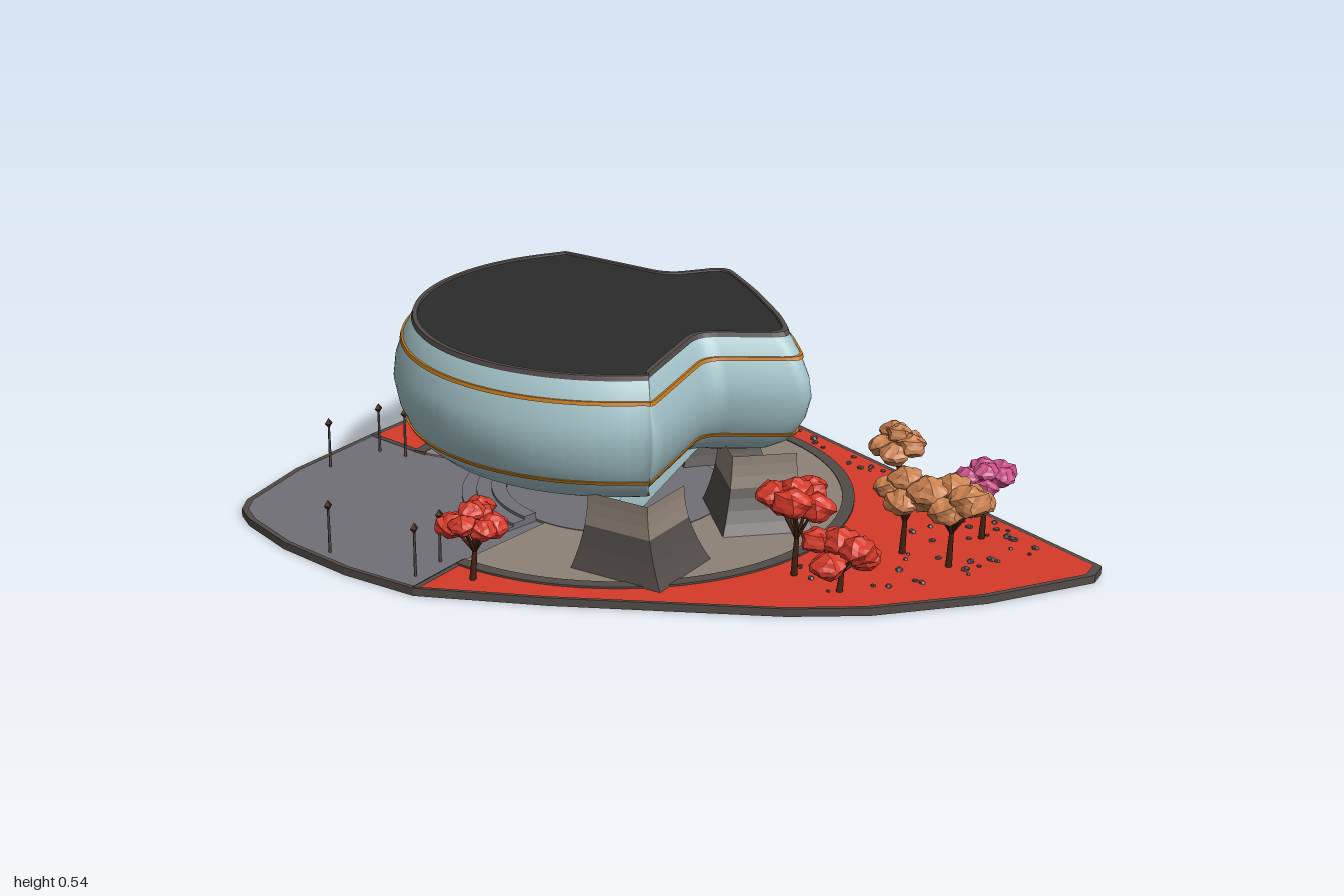
import * as THREE from 'three';

const mat = (name, color) => {
  const m = new THREE.MeshStandardMaterial({ color });
  m.name = name;
  return m;
};

export function createModel() {
  const model = new THREE.Group();
  model.name = 'pavilion';
  const glass = mat('pale blue glass', 0xa3c3c8), roofDark = mat('roof charcoal', 0x2b2b2b);
  const trim = mat('amber trim', 0xc47a1c), red = mat('red foliage', 0xd63a2a);
  const tan = mat('tan stone', 0x8e8276), gray = mat('gray paving', 0x716f76);
  const dark = mat('dark stone', 0x524c49), orange = mat('orange foliage', 0xc9804f);
  const pink = mat('pink foliage', 0xc84f86), bark = mat('bark', 0x42210f);
  const CX = 0.095, CZ = -0.145;
  let seed = 11;
  const rand = () => (seed = (seed * 16807) % 2147483647) / 2147483647;

  const add = (name, geo, material, parent = model) => {
    const m = new THREE.Mesh(geo, material);
    m.name = name;
    parent.add(m);
    return m;
  };
  // Points on an arc around the plaza centre, degrees from +x towards +z
  const arc = (r, a0, a1, n = 64) => Array.from({ length: n + 1 }, (_, i) => {
    const a = THREE.MathUtils.degToRad(a0 + (a1 - a0) * i / n);
    return [CX + r * Math.cos(a), CZ + r * Math.sin(a)];
  });
  const vecs = pts => pts.map(([x, z]) => new THREE.Vector2(x, -z));
  // Flat slab from a plan outline of [x, z] points
  const slab = (name, pts, y0, y1, material, hole) => {
    const s = new THREE.Shape(vecs(pts));
    if (hole) s.holes.push(new THREE.Path(vecs(hole)));
    const g = new THREE.ExtrudeGeometry(s, { depth: y1 - y0, bevelEnabled: false });
    g.rotateX(-Math.PI / 2).translate(0, y0, 0);
    return add(name, g, material);
  };
  // Skin through stacked closed rings: [{ y, pts }]
  const loft = (rings, smooth) => {
    const n = rings[0].pts.length, pos = [], idx = [];
    rings.forEach(({ y, pts }) => pts.forEach(([x, z]) => pos.push(x, y, z)));
    for (let i = 0; i < rings.length - 1; i++) for (let j = 0; j < n; j++) {
      const a = i * n + j, b = i * n + (j + 1) % n;
      idx.push(a, b, a + n, b, b + n, a + n);
    }
    let g = new THREE.BufferGeometry();
    g.setAttribute('position', new THREE.Float32BufferAttribute(pos, 3));
    g.setIndex(idx);
    if (!smooth) g = g.toNonIndexed();
    g.computeVertexNormals();
    return g;
  };
  const rod = (name, a, b, r0, r1, material, parent) => {
    const d = b.clone().sub(a);
    const m = add(name, new THREE.CylinderGeometry(r1, r0, d.length(), 6), material, parent);
    m.position.copy(a).addScaledVector(d, 0.5);
    m.quaternion.setFromUnitVectors(new THREE.Vector3(0, 1, 0), d.normalize());
  };

  // Site: red garden, gray forecourt, round plaza
  const gardenEdge = [[-0.25, -0.89], [-0.02, -0.965], [0.14, -0.965], [0.45, -0.89], [0.8, -0.79],
    [0.81, -0.72], [0.805, 0.96], [0.75, 0.99], [0.45, 0.93], [0.17, 0.82], [0, 0.71],
    [-0.18, 0.555], [-0.44, 0.33], [-0.68, 0.095]];
  const courtEdge = [[-0.76, -0.11], [-0.81, -0.34], [-0.815, -0.53], [-0.8, -0.6], [-0.76, -0.65],
    [-0.55, -0.775]];
  const site = [...gardenEdge, ...courtEdge];
  slab('siteCurb', site, 0, 0.021, dark, site.map(([x, z]) => [x * 0.982, z * 0.982]));
  const A0 = 164, A1 = -119;
  slab('garden', [...gardenEdge, ...arc(0.63, A0, A1)].map(([x, z]) => [x * 0.99, z * 0.99]), 0.006, 0.019, red);
  slab('plazaCurb', [...arc(0.638, A0, A1), ...arc(0.605, A1, A0)], 0.005, 0.024, dark);
  slab('plaza', [...arc(0.607, A0, A1), [CX, CZ]], 0.006, 0.022, tan);
  slab('forecourt', [[-0.68, 0.095], ...courtEdge, [-0.25, -0.89], ...arc(0.6, A1, A1, 1), [CX, CZ],
    ...arc(0.6, A0, A0, 1)].map(([x, z]) => [x * 0.99, z * 0.99]), 0.007, 0.018, gray);
  slab('courtDisc', arc(0.3, 360, 0), 0.004, 0.024, gray);
  [[-0.245, -0.885, -0.196, -0.67], [-0.675, 0.093, -0.485, 0.02]].forEach(([x0, z0, x1, z1]) =>
    rod('forecourtCurb', new THREE.Vector3(x0, 0.016, z0), new THREE.Vector3(x1, 0.016, z1), 0.008, 0.008, dark));

  // Hall: plan outline with two notches, inset by mitre and then filleted
  const plan = [...arc(0.592, -74, -242, 22), [-0.17, 0.405], [0.145, 0.2], [0.36, 0.355],
    [0.46, 0.17], [0.545, -0.05], [0.625, -0.315], [0.43, -0.37], [0.305, -0.73]];
  const outline = inset => {
    const n = plan.length;
    const P = plan.map((p, i) => {
      const q = plan[(i + n - 1) % n], r = plan[(i + 1) % n];
      const a = new THREE.Vector2(p[0] - q[0], p[1] - q[1]).normalize();
      const b = new THREE.Vector2(r[0] - p[0], r[1] - p[1]).normalize();
      const k = inset / (1 + a.dot(b));
      return new THREE.Vector2(p[0] + k * (a.y + b.y), p[1] - k * (a.x + b.x));
    });
    const out = [];
    P.forEach((p, i) => {
      const q = P[(i + n - 1) % n], r = P[(i + 1) % n];
      const cut = o => p.clone().lerp(o, Math.min(0.45, 0.05 / p.distanceTo(o)));
      new THREE.QuadraticBezierCurve(cut(q), p, cut(r)).getPoints(5).forEach(v => out.push([v.x, v.y]));
    });
    return out;
  };
  const skin = (name, profile, material, smooth) =>
    add(name, loft(profile.map(([y, d]) => ({ y, pts: outline(d) })), smooth), material);
  skin('glassHall', [[0.195, 0.12], [0.208, 0.085], [0.235, 0.052], [0.265, 0.032], [0.31, 0.012], [0.37, 0],
    [0.42, 0.006], [0.475, 0.025], [0.51, 0.043], [0.53, 0.058]], glass, true);
  skin('lowerBand', [[0.261, 0.04], [0.261, 0.029], [0.27, 0.025], [0.27, 0.04]], trim);
  skin('upperBand', [[0.471, 0.035], [0.471, 0.019], [0.48, 0.022], [0.48, 0.035]], trim);
  skin('roofRim', [[0.524, 0.058], [0.524, 0.05], [0.536, 0.054], [0.536, 0.066], [0.528, 0.068]], dark);
  slab('roof', outline(0.064), 0.522, 0.531, roofDark);
  slab('hallFloor', outline(0.12), 0.193, 0.2, dark);

  // Flared legs: dark foot, tan shaft
  [[-0.14, 0.28, 68], [0.3, 0.2, 115], [0.48, -0.24, -72], [0.23, -0.575, -26]].forEach(([x, z, deg]) => {
    const leg = new THREE.Group();
    leg.name = 'leg';
    model.add(leg);
    const a = THREE.MathUtils.degToRad(deg), c = Math.cos(a), s = Math.sin(a);
    const ring = y => {
      const f = ((0.22 - y) / 0.2) ** 2, w = 0.085 + 0.035 * f;
      return { y, pts: [[0.085 + 0.06 * f, w], [0.085 + 0.06 * f, -w], [-0.09 - 0.03 * f, -w], [-0.09 - 0.03 * f, w]]
        .map(([u, v]) => [x + u * c - v * s, z + u * s + v * c]) };
    };
    add('legFoot', loft([0.02, 0.05, 0.08, 0.11, 0.135].map(ring)), dark, leg);
    add('legShaft', loft([0.135, 0.165, 0.195, 0.22].map(ring)), tan, leg);
  });

  // Sloping glazed entrance ramp under the hall
  const ramp = add('entranceRamp', new THREE.BoxGeometry(0.27, 0.075, 0.17), glass);
  ramp.position.set(0.09, 0.125, -0.04);
  ramp.rotation.z = 0.62;

  // Low steps on the forecourt side
  for (let i = 0; i < 3; i++)
    slab('step', [...arc(0.42 - i * 0.04, 170, 235, 20), ...arc(0.3, 235, 170, 20)], 0.018, 0.026 + i * 0.008, gray);

  // Lumpy faceted leaf clump
  const clump = new THREE.IcosahedronGeometry(1, 2);
  const p = clump.attributes.position;
  for (let i = 0; i < p.count; i++) {
    const x = p.getX(i), y = p.getY(i), z = p.getZ(i);
    const k = 1 + 0.16 * Math.sin(5 * x + 2) * Math.sin(5 * z + 1) + 0.1 * Math.sin(6 * y + 3 * x);
    p.setXYZ(i, x * k, y * k, z * k);
  }
  clump.computeVertexNormals();

  // Trees: x, z, crown height, spread x, spread z, clumps, clump size, foliage
  [[0, -0.93, 0.17, 0.05, 0.05, 5, 0.036, pink], [0.05, -0.82, 0.17, 0.06, 0.05, 5, 0.036, pink],
    [0.41, -0.81, 0.17, 0.04, 0.04, 6, 0.034, orange], [0.6, -0.78, 0.22, 0.07, 0.06, 6, 0.044, red],
    [0.68, -0.67, 0.18, 0.05, 0.07, 6, 0.042, red], [0.71, -0.47, 0.17, 0.03, 0.05, 6, 0.033, orange],
    [0.71, 0.29, 0.165, 0.04, 0.045, 6, 0.034, orange], [0.68, 0.655, 0.18, 0.06, 0.03, 7, 0.034, pink],
    [0.45, 0.61, 0.2, 0.04, 0.04, 5, 0.04, orange], [0.49, 0.74, 0.21, 0.06, 0.07, 8, 0.046, orange],
    [0.14, 0.56, 0.225, 0.05, 0.06, 6, 0.042, red], [0.17, 0.7, 0.13, 0.06, 0.06, 6, 0.04, red],
    [-0.53, 0.13, 0.18, 0.05, 0.05, 7, 0.036, red]
  ].forEach(([x, z, h, sx, sz, n, r, leaf]) => {
    const tree = new THREE.Group();
    tree.name = 'tree';
    model.add(tree);
    const fork = new THREE.Vector3(x + 0.012, h * 0.5, z - 0.008);
    rod('trunk', new THREE.Vector3(x, 0.015, z), fork, 0.009, 0.006, bark, tree);
    for (let i = 0; i < n; i++) {
      const a = i * Math.PI * 2 / (n - 1) + x * 9, k = i === n - 1 ? 0 : 1;
      const c = new THREE.Vector3(x + sx * k * Math.cos(a), h + (k ? (rand() - 0.6) * 0.05 : 0.022), z + sz * k * Math.sin(a));
      rod('branch', fork, c, 0.005, 0.003, bark, tree);
      const m = add('foliage', clump, leaf, tree);
      m.position.copy(c);
      m.scale.set(r, r * 0.8, r).multiplyScalar(0.85 + rand() * 0.3);
      m.rotation.y = rand() * 6;
    }
  });

  // Lamp posts on the forecourt
  [[-0.46, -0.74], [-0.29, -0.765], [-0.25, -0.69], [-0.74, -0.22], [-0.635, 0.03], [-0.54, -0.01]].forEach(([x, z]) => {
    const lamp = new THREE.Group();
    lamp.name = 'lampPost';
    model.add(lamp);
    rod('post', new THREE.Vector3(x, 0.015, z), new THREE.Vector3(x, 0.14, z), 0.004, 0.003, dark, lamp);
    const head = add('lampHead', new THREE.OctahedronGeometry(0.012), bark, lamp);
    head.position.set(x, 0.146, z);
    head.scale.y = 1.3;
  });

  // Small stones scattered over the garden
  const stone = new THREE.DodecahedronGeometry(1);
  for (let i = 0; i < 60; i++) {
    const t = rand(), side = i % 2;
    const x = side ? 0.735 + 0.05 * rand() : 0.1 + 0.65 * t;
    const z = side ? -0.7 + 1.5 * t : 0.5 + rand() * (0.2 + 0.2 * t);
    if (Math.hypot(x - CX, z - CZ) < 0.66) continue;
    const m = add('stone', stone, dark);
    m.position.set(x, 0.02, z);
    m.scale.set(1, 0.7, 0.8).multiplyScalar(0.006 + 0.007 * rand());
    m.rotation.y = rand() * 6;
  }
  return model;
}
